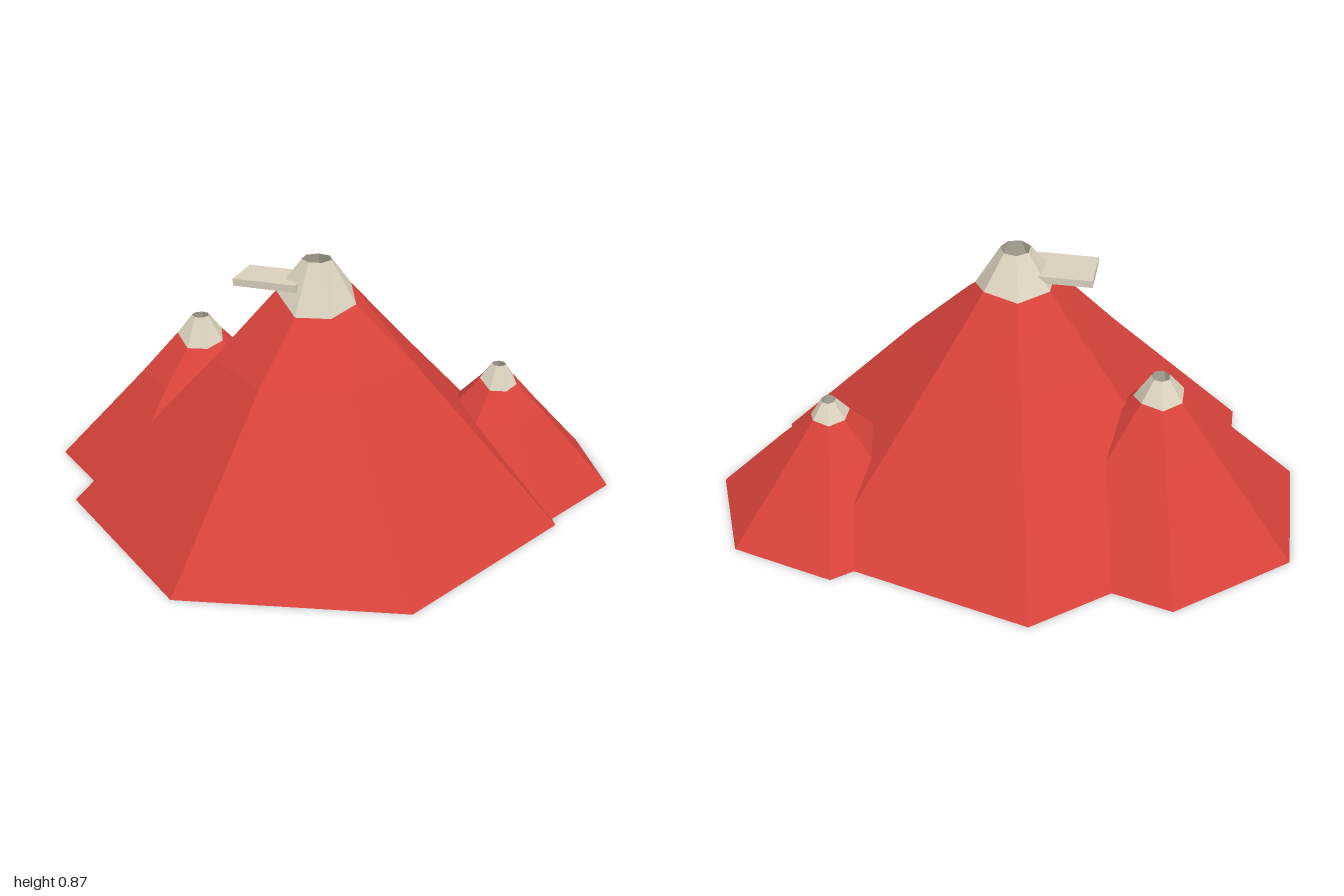
import * as THREE from 'three';

const SIDES = 7;
// Snow line height at each corner of a full-size peak
const SNOW_LINE = [0.72, 0.70, 0.70, 0.76, 0.75, 0.74, 0.755];

// One ring of corners; height is a number or one value per corner
function ring(radius, height) {
  return Array.from({ length: SIDES }, (_, i) => {
    const a = (i / SIDES) * Math.PI * 2;
    const y = Array.isArray(height) ? height[i] : height;
    return [Math.cos(a) * radius, y, Math.sin(a) * radius];
  });
}

// Open faceted shell through a stack of rings, from bottom to top
function shell(rings) {
  const points = [];
  for (let r = 0; r < rings.length - 1; r++) {
    const low = rings[r], high = rings[r + 1];
    for (let i = 0; i < SIDES; i++) {
      const j = (i + 1) % SIDES;
      points.push(...low[j], ...low[i], ...high[i], ...low[j], ...high[i], ...high[j]);
    }
  }
  const geometry = new THREE.BufferGeometry();
  geometry.setAttribute('position', new THREE.Float32BufferAttribute(points, 3));
  geometry.computeVertexNormals();
  return geometry;
}

export function createModel() {
  const rock = new THREE.MeshStandardMaterial({ color: 0xd5423a, flatShading: true, side: THREE.DoubleSide });
  rock.name = 'red rock';
  const pale = new THREE.MeshStandardMaterial({ color: 0xd9d0bc, flatShading: true, side: THREE.DoubleSide });
  pale.name = 'pale stone';

  const model = new THREE.Group();
  model.name = 'mountains';

  const base = ring(0.865, 0);
  const shoulder = ring(0.36, 0.52);
  const snow = ring(0.14, SNOW_LINE);
  const rim = ring(0.052, 0.868);
  const slopeGeometry = shell([base, shoulder, snow]);
  const capGeometry = shell([snow, rim]);

  // Main peak and two smaller copies
  const peaks = [
    ['mainPeak', 0, 0, 1],
    ['rightPeak', -0.516, -0.175, 0.62],
    ['leftPeak', 0.575, -0.347, 0.487],
  ];
  for (const [name, x, z, scale] of peaks) {
    const peak = new THREE.Group();
    peak.name = name;
    const slope = new THREE.Mesh(slopeGeometry, rock);
    slope.name = 'slope';
    const cap = new THREE.Mesh(capGeometry, pale);
    cap.name = 'cap';
    peak.add(slope, cap);
    peak.position.set(x, 0, z);
    peak.scale.setScalar(scale);
    model.add(peak);
  }

  // Flat ledge sticking out of the main cap
  const ledge = new THREE.Mesh(new THREE.BoxGeometry(0.225, 0.025, 0.155), pale);
  ledge.name = 'ledge';
  ledge.position.set(-0.153, 0.787, 0.025);
  model.add(ledge);

  return model;
}
